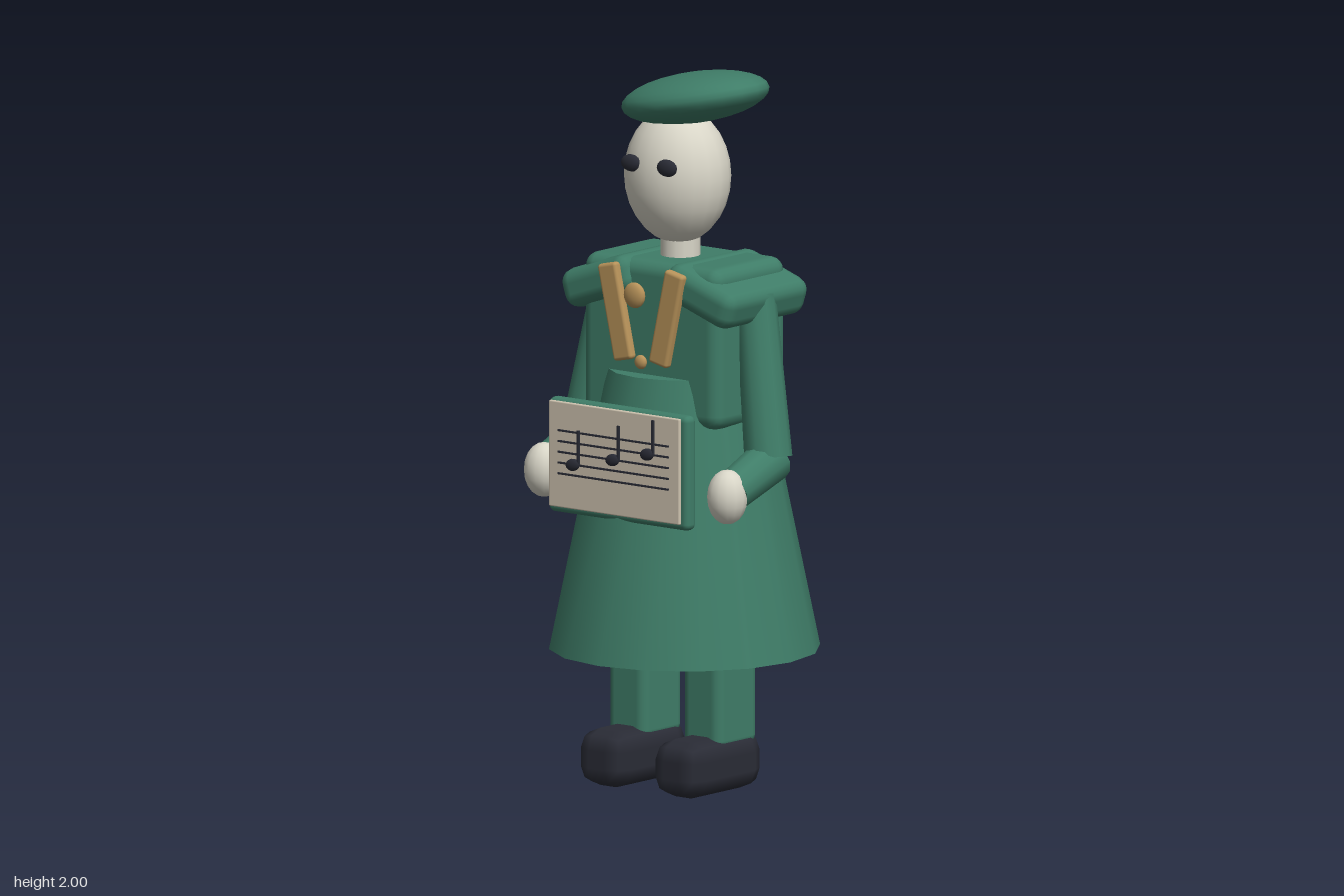
import * as THREE from 'three';
import { RoundedBoxGeometry } from 'three/addons/geometries/RoundedBoxGeometry.js';

export function createModel() {
  const model = new THREE.Group();
  model.name = 'uniformedMusician';
  const mat = (color) => new THREE.MeshStandardMaterial({ color });
  const green = mat(0x3f7d68), skin = mat(0xd9d6c8), dark = mat(0x2a2c36);
  const brass = mat(0xb8935a), paper = mat(0xcfc4b0);

  const add = (name, geometry, material, position, rotZ = 0) => {
    const mesh = new THREE.Mesh(geometry, material);
    mesh.name = name;
    mesh.position.set(...position);
    mesh.rotation.z = rotZ;
    model.add(mesh);
    return mesh;
  };
  const box = (w, h, d, r, seg = 2) => new RoundedBoxGeometry(w, h, d, seg, r);
  const ball = (rx, ry, rz, w = 20, h = 14) => new THREE.SphereGeometry(1, w, h).scale(rx, ry, rz);
  // Tapered limb running from point a to point b
  const limb = (name, a, b, ra, rb) => {
    const from = new THREE.Vector3(...a), to = new THREE.Vector3(...b);
    const dir = to.clone().sub(from);
    const mesh = add(name, new THREE.CylinderGeometry(rb, ra, dir.length(), 12), green,
      from.clone().add(to).multiplyScalar(0.5).toArray());
    mesh.quaternion.setFromUnitVectors(new THREE.Vector3(0, 1, 0), dir.normalize());
  };

  // Coat: flared skirt and boxy torso
  add('coatSkirt', new THREE.CylinderGeometry(0.212, 0.373, 0.78, 16), green, [0, 0.77, 0]);
  add('torso', box(0.484, 0.45, 0.312, 0.04), green, [0, 1.25, 0]);

  // Neck, head and tilted cap
  add('neck', new THREE.CylinderGeometry(0.055, 0.055, 0.16, 14), skin, [0, 1.5, 0.018]);
  add('head', ball(0.154, 0.19, 0.136), skin, [0, 1.7, 0.03]);
  add('cap', ball(0.226, 0.07, 0.172), green, [0.053, 1.919, 0.018], 0.2);

  // Mirrored parts
  for (const [side, s] of [['left', 1], ['right', -1]]) {
    add(side + 'Eye', ball(0.035, 0.024, 0.014, 12, 8), dark, [s * 0.063, 1.742, 0.154]);
    add(side + 'ShoulderCape', box(0.25, 0.11, 0.36, 0.04), green, [s * 0.18, 1.398, 0], -s * 0.33);
    add(side + 'Lapel', box(0.066, 0.27, 0.028, 0.01), brass, [s * 0.09, 1.33, 0.183], -s * 0.22);
    limb(side + 'UpperArm', [s * 0.25, 1.39, 0], [s * 0.324, 0.95, 0.035], 0.056, 0.066);
    limb(side + 'Forearm', [s * 0.324, 0.945, 0.02], [s * 0.323, 0.877, 0.195], 0.064, 0.056);
    add(side + 'Hand', ball(0.057, 0.076, 0.056, 14, 10), skin, [s * 0.323, 0.866, 0.212]);
    add(side + 'Leg', box(0.136, 0.4, 0.175, 0.03), green, [s * 0.132, 0.32, 0.008]);
    add(side + 'Shoe', box(0.165, 0.16, 0.32, 0.055, 1), dark, [s * 0.132, 0.08, 0.062]);
  }

  // Brooch and lower button
  add('brooch', ball(0.036, 0.036, 0.016, 14, 10), brass, [0, 1.39, 0.217]);
  add('button', ball(0.02, 0.02, 0.012, 12, 8), brass, [0, 1.2, 0.19]);

  // Folder with its music sheet
  add('folder', box(0.495, 0.32, 0.044, 0.018), green, [0, 0.93, 0.27]);
  add('sheet', box(0.46, 0.295, 0.012, 0.004), paper, [0, 0.937, 0.301]);
  for (let i = 0; i < 5; i++) {
    add('staffLine', new THREE.BoxGeometry(0.39, 0.005, 0.006), dark, [0, 0.885 + i * 0.03, 0.309]);
  }
  for (const [x, y] of [[-0.14, 0.915], [0, 0.945], [0.122, 0.975]]) {
    add('noteHead', ball(0.025, 0.017, 0.009, 12, 8), dark, [x, y, 0.313], 0.2);
    add('noteStem', new THREE.BoxGeometry(0.007, 0.095, 0.006), dark, [x + 0.02, y + 0.05, 0.313]);
  }
  return model;
}
